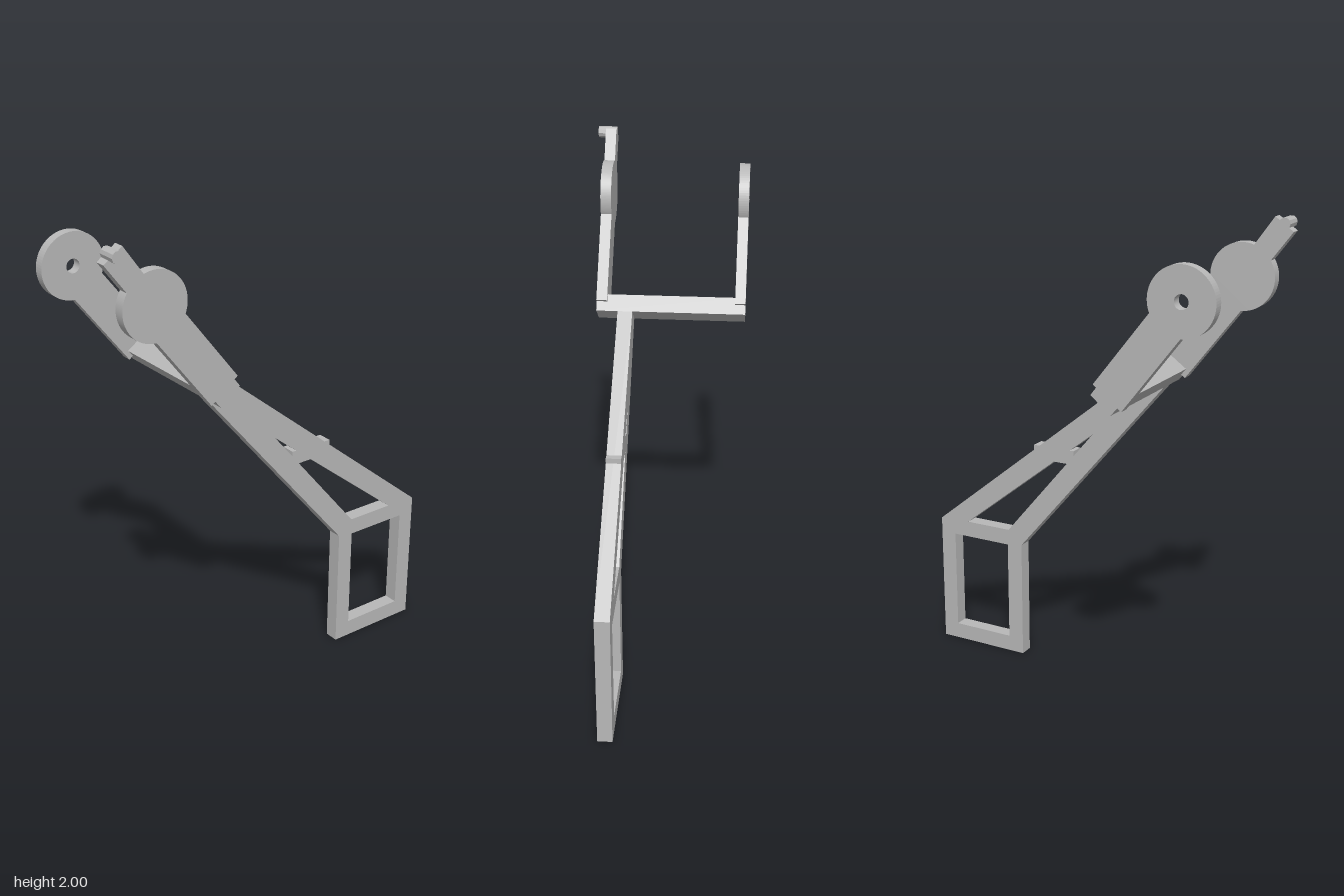
import * as THREE from 'three';

const grey = new THREE.MeshStandardMaterial({ color: 0xb8b8b8 });
grey.name = 'grey';

// Profiles are drawn as [z, y] points and extruded along x.
const toPoints = (pts) => pts.map(([z, y]) => new THREE.Vector2(-z, y));

function plate(name, shape, x0, x1) {
  const geo = new THREE.ExtrudeGeometry(shape, { depth: x1 - x0, bevelEnabled: false, curveSegments: 32 });
  geo.rotateY(Math.PI / 2);
  geo.translate(x0, 0, 0);
  const mesh = new THREE.Mesh(geo, grey);
  mesh.name = name;
  return mesh;
}

const HUB = { z: 0.578, y: 1.764, r: 0.132 };

// Straight arm ending in a round hub, with an optional tip beyond the hub
function armShape(tip) {
  const s = new THREE.Shape();
  const arc = (a, b) => s.absarc(-HUB.z, HUB.y, HUB.r, a, b, false);
  s.moveTo(-0.35, 1.337);
  s.lineTo(-0.233, 1.427);
  if (tip) {
    arc(-0.39, 1.9);
    toPoints([[0.7, 2.0], [0.775, 1.947]]).forEach((p) => s.lineTo(p.x, p.y));
    arc(2.58, Math.PI * 1.5);
  } else {
    arc(-0.39, Math.PI * 1.5);
  }
  s.closePath();
  return s;
}

export function createModel() {
  const model = new THREE.Group();
  model.name = 'bracket';

  // Lower frame: rectangular loop below, tapering strut above
  const frame = new THREE.Shape(toPoints([
    [-0.36, 0], [-0.775, 0], [-0.775, 0.575], [0.223, 1.385], [0.307, 1.317], [-0.36, 0.52],
  ]));
  frame.holes.push(
    new THREE.Path(toPoints([[-0.43, 0.07], [-0.705, 0.07], [-0.705, 0.51], [-0.43, 0.51]])),
    new THREE.Path(toPoints([[-0.425, 0.58], [-0.635, 0.58], [-0.01, 1.077]])),
  );
  model.add(plate('frame', frame, 0.137, 0.197));

  // Short brace across the strut
  const brace = new THREE.Shape(toPoints([[-0.1, 0.93], [-0.29, 0.93], [-0.29, 0.99], [-0.1, 0.99]]));
  model.add(plate('brace', brace, 0.137, 0.197));

  // Tilted bar joining the two arms
  const bar = new THREE.Shape(toPoints([[0.307, 1.317], [0.223, 1.385], [0.265, 1.44], [0.355, 1.375]]));
  model.add(plate('crossBar', bar, -0.32, 0.284));

  // Right arm with a bored hub
  const right = armShape(false);
  right.holes.push(new THREE.Path().absarc(-HUB.z, HUB.y, 0.028, 0, Math.PI * 2, true));
  model.add(plate('rightArm', right, -0.32, -0.278));

  // Left arm with a solid hub and a tip
  model.add(plate('leftArm', armShape(true), 0.24, 0.284));

  // Pin through the tip
  const pinGeo = new THREE.CylinderGeometry(0.023, 0.023, 0.077, 10).toNonIndexed();
  pinGeo.computeVertexNormals();
  pinGeo.rotateZ(Math.PI / 2);
  const pin = new THREE.Mesh(pinGeo, grey);
  pin.position.set(0.2785, 1.975, 0.738);
  pin.name = 'pin';
  model.add(pin);

  return model;
}
